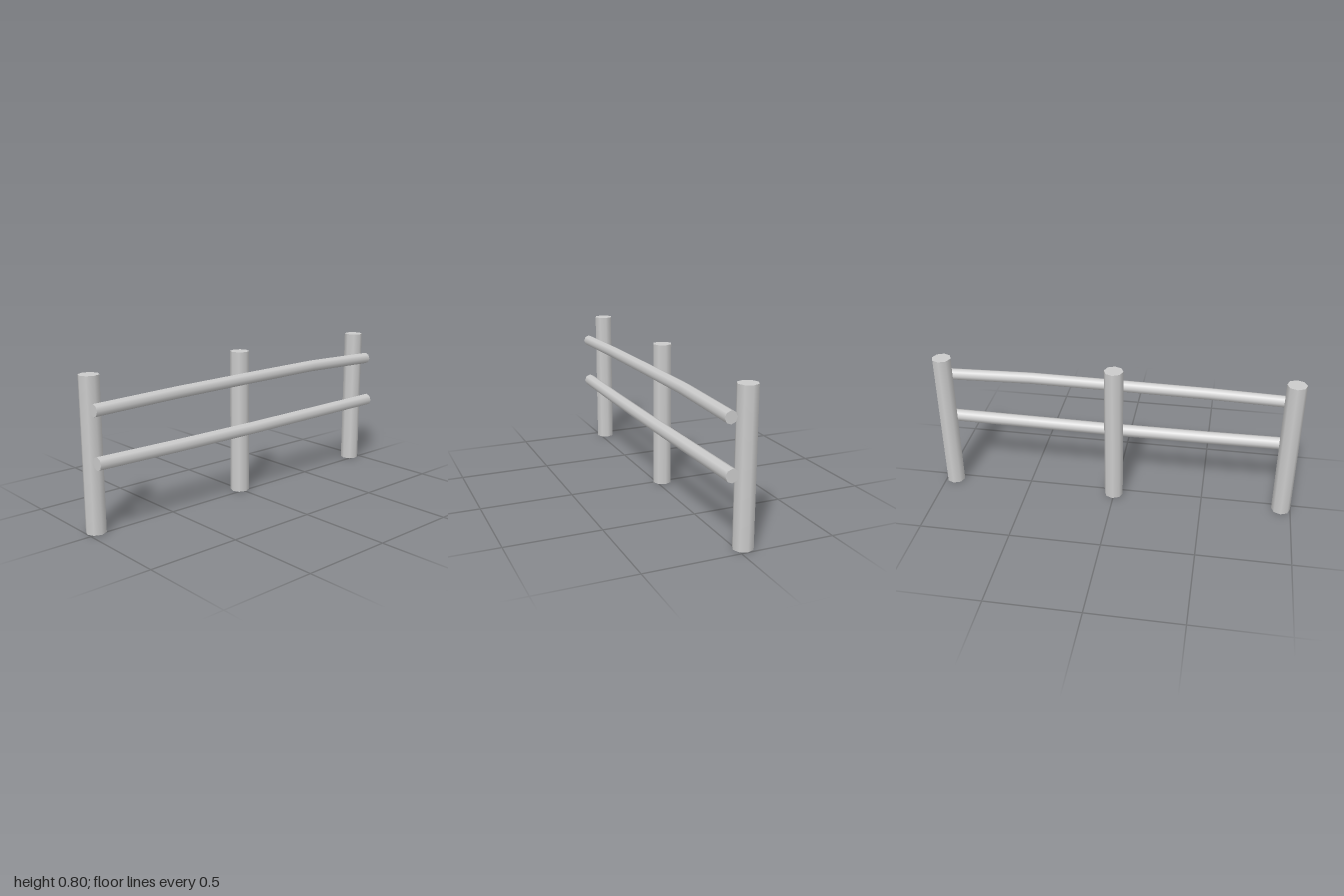
import * as THREE from 'three';

const SIDES = 8;
const material = new THREE.MeshStandardMaterial({ color: 0xcccccc });
const openMaterial = new THREE.MeshStandardMaterial({ color: 0xcccccc, side: THREE.DoubleSide });

// Upright round post, capped on top and open underneath
function createPost(name, x) {
  const radius = 0.0525, height = 0.797;
  const post = new THREE.Group();
  post.name = name;
  const shaft = new THREE.Mesh(new THREE.CylinderGeometry(radius, radius, height, SIDES, 1, true), openMaterial);
  shaft.name = name + 'Shaft';
  shaft.position.y = height / 2;
  const top = new THREE.Mesh(new THREE.CircleGeometry(radius, SIDES).rotateX(-Math.PI / 2), material);
  top.name = name + 'Top';
  top.position.y = height;
  post.add(shaft, top);
  post.position.set(x, 0, -0.035);
  return post;
}

// Round rail between two x positions, bent to follow evenly spaced heights
function createRail(name, x0, x1, radius, heights) {
  const segments = heights.length - 1;
  const length = x1 - x0;
  const geometry = new THREE.CylinderGeometry(radius, radius, length, SIDES, segments);
  geometry.rotateZ(-Math.PI / 2);
  geometry.translate((x0 + x1) / 2, 0, 0);
  const p = geometry.attributes.position;
  for (let i = 0; i < p.count; i++) {
    const ring = Math.round(((p.getX(i) - x0) / length) * segments);
    p.setY(i, p.getY(i) + heights[ring]);
  }
  const rail = new THREE.Mesh(geometry, material);
  rail.name = name;
  rail.position.z = 0.054;
  return rail;
}

export function createModel() {
  const fence = new THREE.Group();
  fence.name = 'fence';
  fence.add(
    createPost('rightPost', -0.9475),
    createPost('middlePost', 0.003),
    createPost('leftPost', 0.9475),
    createRail('upperRail', -0.985, 0.965, 0.0325, [0.642, 0.655, 0.661, 0.665, 0.652]),
    createRail('lowerRail', -0.978, 0.99, 0.035, [0.38, 0.376, 0.376, 0.381, 0.386]),
  );
  return fence;
}
